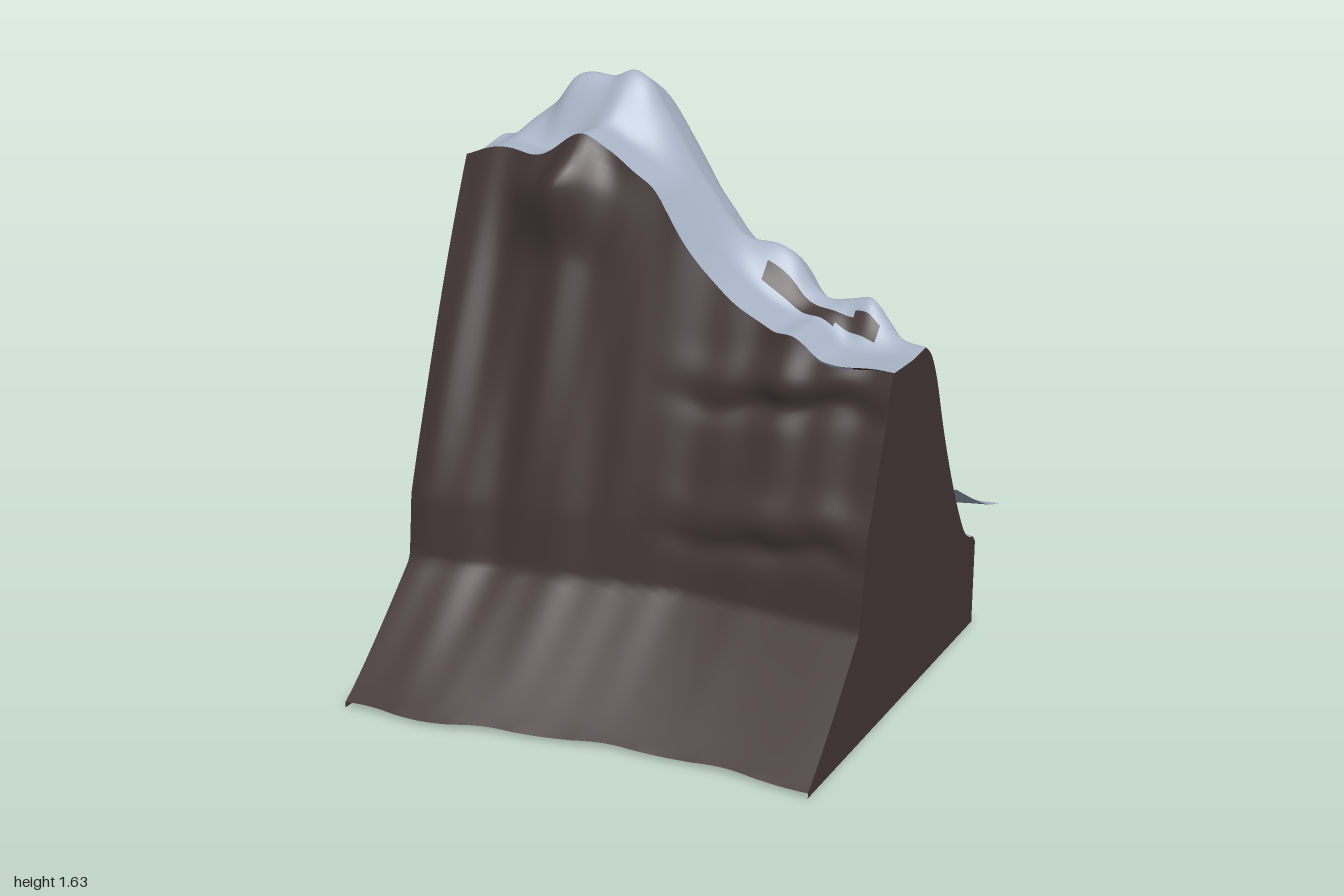
import * as THREE from 'three';

const mat = (name, color) => {
  const m = new THREE.MeshStandardMaterial({ color, side: THREE.DoubleSide });
  m.name = name;
  return m;
};
const { lerp, smoothstep, clamp } = THREE.MathUtils;
const HALF = 0.65, FOOT = 0.26, BASE = 0.015;

// Smooth function through a short list of [position, value] points
function through(pts) {
  const n = pts.length;
  const slope = (i) => {
    const a = pts[Math.max(i - 1, 0)], b = pts[Math.min(i + 1, n - 1)];
    return (b[1] - a[1]) / (b[0] - a[0]);
  };
  return (x) => {
    x = clamp(x, pts[0][0], pts[n - 1][0]);
    let i = 0;
    while (i < n - 2 && x > pts[i + 1][0]) i++;
    const [x0, y0] = pts[i], [x1, y1] = pts[i + 1], w = x1 - x0, t = (x - x0) / w;
    const t2 = t * t, t3 = t2 * t;
    return (2 * t3 - 3 * t2 + 1) * y0 + (t3 - 2 * t2 + t) * w * slope(i)
      + (3 * t2 - 2 * t3) * y1 + (t3 - t2) * w * slope(i + 1);
  };
}

// Lines that shape the mountain, all running from right (-x) to left (+x)
const brink = through([[-0.65, 1.4], [-0.55, 1.43], [-0.4, 1.425], [-0.27, 1.495], [-0.2, 1.46], [-0.1, 1.4],
  [-0.05, 1.365], [0, 1.3], [0.1, 1.165], [0.2, 1.08], [0.3, 1.03], [0.37, 1.025], [0.45, 0.97], [0.65, 0.97]]);
const ridge = through([[-0.65, 1.425], [-0.6, 1.435], [-0.55, 1.48], [-0.48, 1.535], [-0.43, 1.6], [-0.38, 1.615],
  [-0.31, 1.61], [-0.25, 1.63], [-0.2, 1.605], [-0.15, 1.53], [-0.1, 1.45], [-0.05, 1.37], [0, 1.305], [0.05, 1.24],
  [0.1, 1.2], [0.2, 1.19], [0.25, 1.16], [0.3, 1.09], [0.35, 1.06], [0.42, 1.07], [0.48, 1.08], [0.52, 1.04],
  [0.57, 0.99], [0.65, 0.98]]);
const ridgeZ = through([[-0.65, 0.16], [-0.4, 0.11], [-0.2, 0.1], [0.2, 0.09], [0.45, 0.1], [0.65, 0.14]]);
const backZ = through([[-0.65, -0.51], [-0.52, -0.58], [-0.4, -0.76], [-0.3, -0.92], [-0.18, -1], [-0.05, -0.94],
  [0.12, -0.77], [0.3, -0.54], [0.45, -0.37], [0.65, -0.29]]);
const slopeFall = through([[0, 1], [0.1, 0.95], [0.2, 0.84], [0.3, 0.68], [0.4, 0.53], [0.55, 0.335], [0.68, 0.19],
  [0.79, 0.09], [0.88, 0.047], [0.96, 0.03], [1, 0]]);
const across = through([[-0.65, 0], [-0.4, 0.12], [-0.2, 0.4], [0, 0.66], [0.2, 0.86], [0.4, 0.97], [0.65, 1]]);
const kneeAcross = through([[-0.65, 0], [-0.45, 0.28], [-0.15, 0.6], [0.1, 0.95], [0.3, 1], [0.65, 1]]);
const brinkZ = (x) => 0.345 + 0.007 * Math.sin(x * 17 + 1) + 0.004 * Math.sin(x * 41);

// Rock face, v = 0 at the foot and 1 at the brink
function cliffPoint(x, v) {
  const top = brink(x), k = across(x);
  const y = lerp(BASE + 0.003 * Math.sin(x * 19), top, v);
  const knee = lerp(0.7, 0.525, kneeAcross(x)), chest = lerp(0.68, 0.5, kneeAcross(x));
  const u = clamp((y - 0.5) / (top - 0.5), 0, 1);
  let z;
  if (y < 0.32) z = lerp(lerp(1, 0.81, k), knee, Math.max(0, (y - BASE) / (0.32 - BASE)) ** 0.9);
  else if (y < 0.5) z = lerp(knee, chest, (y - 0.32) / 0.18);
  else z = lerp(chest, brinkZ(x), u ** 1.08);
  // overhanging buttress, upright flutes, then ledges
  z += 0.08 * Math.exp(-(((x + 0.31) / 0.11) ** 2)) * smoothstep(u, 0.66, 0.9) * (1 - smoothstep(u, 0.89, 1));
  z += Math.sin(Math.PI * v) * (1 - k) * 0.012 * (Math.sin(x * 22 + 2 * y) + 0.4 * Math.sin(x * 47 - 3 * y));
  const wave = 0.02 * Math.sin(x * 9 + 3) + 0.008 * Math.sin(x * 27);
  const cut = (h, w) => Math.exp(-(((y - h - wave) / w) ** 2));
  z += smoothstep(x, -0.05, 0.4) * (1 - 0.7 * smoothstep(x, 0.5, 0.65)) * (0.02 * cut(0.92, 0.05)
    - 0.018 * cut(0.84, 0.035) + 0.016 * cut(0.57, 0.05) - 0.016 * cut(0.48, 0.035));
  return [x, y, z];
}

// Snow: rows 0..FRONT climb from the brink to the ridge, the rest run down the back
const FRONT = 20, BACK = 72;
function snowPoint(x, row) {
  const top = ridge(x), low = Math.min(brink(x), top), zr = ridgeZ(x);
  if (row <= FRONT) {
    const s = row / FRONT;
    return [x, low + (top - low) * smoothstep(s, 0.3 + 0.25 * across(x), 1), lerp(brinkZ(x), zr, s)];
  }
  const t = (row - FRONT) / BACK;
  const fold = 0.018 * Math.sin(Math.PI * t) ** 2 * Math.sin(x * 24 + 5.8) * (1 - (x / HALF) ** 4);
  return [x, FOOT + (top - FOOT) * slopeFall(t) + fold * (1 - smoothstep(t, 0.7, 1)), lerp(zr, backZ(x), t)];
}

// Bare rock showing through the snow: x from, x to, z from, z to, slant
const bare = [
  [-0.65, -0.56, -0.27, -0.1, 0], [-0.57, -0.5, -0.31, 0.04, -0.6], [-0.51, -0.44, -0.4, -0.05, -1.2],
  [-0.48, -0.31, -0.08, -0.02, -0.5], [-0.39, -0.35, -0.48, -0.1, 0], [-0.35, -0.31, -0.61, -0.1, -0.6],
  [-0.13, -0.09, -0.63, -0.14, 0.4], [-0.13, -0.04, -0.18, -0.13, 0.4], [-0.05, 0, -0.22, -0.08, 0.4],
  [0.04, 0.12, -0.41, -0.31, 0.3], [0.04, 0.21, -0.41, -0.34, 0.4], [0.26, 0.3, -0.35, -0.21, 0.3],
  [0.09, 0.23, -0.13, -0.06, 0.35], [0.23, 0.35, -0.1, -0.02, 0.2], [0.34, 0.52, -0.1, 0.01, 0.35],
  [0.18, 0.52, 0.143, 0.178, 0]];
const isBare = (x, z) => bare.some(([a, b, c, d, slant]) => {
  const level = z - slant * (x - a);
  return x > a && x < b && level > c && level < d;
});

// Grid surface; with a test, the cells it picks form a second material group
function sheet(cols, rows, x0, x1, point, test) {
  const pos = [], plain = [], picked = [];
  for (let j = 0; j <= rows; j++)
    for (let i = 0; i <= cols; i++) pos.push(...point(lerp(x0, x1, i / cols), j));
  for (let j = 0; j < rows; j++)
    for (let i = 0; i < cols; i++) {
      const a = j * (cols + 1) + i, d = a + cols + 1;
      const x = (pos[a * 3] + pos[d * 3 + 3]) / 2, z = (pos[a * 3 + 2] + pos[d * 3 + 5]) / 2;
      (test?.(x, z) ? picked : plain).push(a, a + 1, d + 1, a, d + 1, d);
    }
  const g = new THREE.BufferGeometry();
  g.setAttribute('position', new THREE.Float32BufferAttribute(pos, 3));
  g.setIndex([...plain, ...picked]);
  if (test) {
    g.addGroup(0, plain.length, 0);
    g.addGroup(plain.length, picked.length, 1);
  }
  g.computeVertexNormals();
  return g;
}

export function createModel() {
  const rock = mat('dark rock', 0x433636), snow = mat('snow', 0xa9b5c7);
  const model = new THREE.Group();
  model.name = 'mountain';
  const add = (name, geometry, material) => {
    const m = new THREE.Mesh(geometry, material);
    m.name = name;
    model.add(m);
  };

  const ROWS = 70;
  add('rockFace', sheet(90, ROWS, -HALF, HALF, (x, j) => cliffPoint(x, j / ROWS)), rock);
  add('snowSlope', sheet(120, FRONT + BACK, -HALF, HALF, snowPoint, isBare), [snow, rock]);

  // Flat side walls that close the mountain
  for (const side of [-1, 1]) {
    const x = side * HALF, outline = [];
    for (let j = 0; j <= ROWS; j++) outline.push(cliffPoint(x, j / ROWS));
    for (let j = 1; j <= FRONT + BACK; j++) outline.push(snowPoint(x, j));
    const pts = outline.map((p) => new THREE.Vector2(p[2], p[1]));
    pts.unshift(new THREE.Vector2(pts[0].x, 0));
    pts.push(new THREE.Vector2(backZ(x), 0));
    const g = new THREE.ShapeGeometry(new THREE.Shape(pts));
    g.rotateY(-Math.PI / 2).translate(x, 0, 0);
    add(side < 0 ? 'rightWall' : 'leftWall', g, rock);
  }

  // Snowfields at the foot of the back slope: level under the slope, banked up at the outer side
  const field = (name, side, inner, z0, z1, bank) => {
    const ends = [side * inner, side * HALF].sort((a, b) => a - b);
    add(name, sheet(12, 16, ...ends, (x, j) => {
      const z = lerp(z0, z1, j / 16);
      return [x, lerp(0.275, bank(z), (Math.abs(x) - inner) / (HALF - inner)), z];
    }), snow);
  };
  field('rightSnowfield', -1, 0.14, -0.2, -0.85,
    through([[-0.85, 0.305], [-0.7, 0.335], [-0.5, 0.43], [-0.27, 0.575], [-0.2, 0.62]]));
  field('leftSnowfield', 1, 0.15, -0.12, -0.48,
    through([[-0.48, 0.31], [-0.4, 0.335], [-0.27, 0.4], [-0.12, 0.485]]));

  return model;
}
